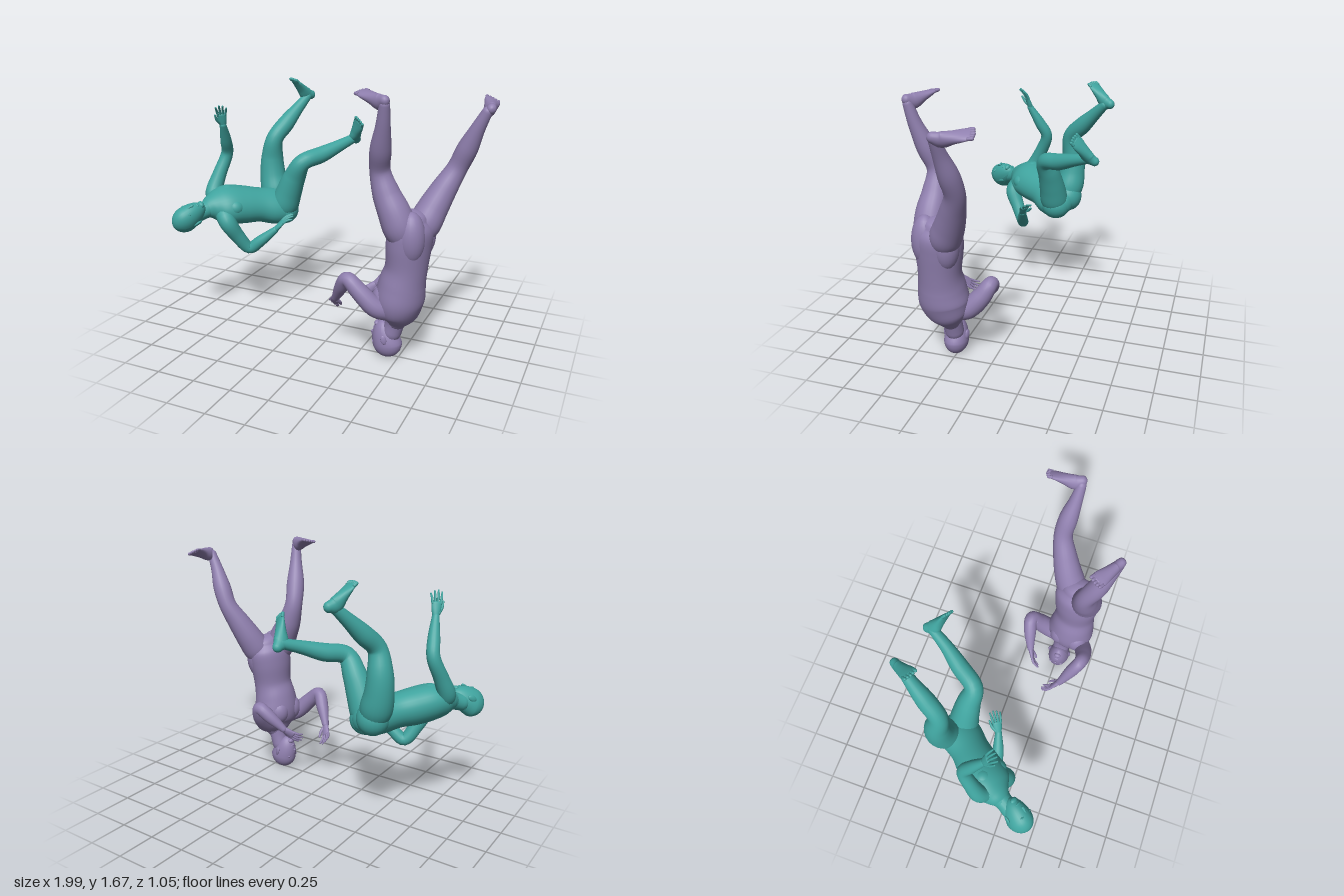
import * as THREE from 'three';

const V = (a) => new THREE.Vector3(a[0], a[1], a[2]);
const curve = (points) => new THREE.CatmullRomCurve3(points, false, 'catmullrom', 0.5);

// Skin of elliptical sections [x, y, z, radius along side, other radius] with rounded ends
function loft(name, mat, sections, side = [0.3, 0.2, 1], seg = 20, cap = 1) {
  const centre = curve(sections.map(V));
  const radii = curve(sections.map((s) => V([s[3], s[4] ?? s[3], 0])));
  const steps = (sections.length - 1) * 6, rings = [];
  const addRing = (t, angle, dir) => {
    const p = centre.getPoint(t), r = radii.getPoint(t), tan = centre.getTangent(t);
    const a = V(side).addScaledVector(tan, -V(side).dot(tan)).normalize();
    const b = tan.clone().cross(a), k = Math.max(Math.cos(angle), 0.01);
    p.addScaledVector(tan, dir * Math.sin(angle) * Math.min(r.x, r.y) * cap);
    rings.push({ p, a: a.multiplyScalar(r.x * k), b: b.multiplyScalar(r.y * k) });
  };
  for (let i = 5; i > 0; i--) addRing(0, (i / 5) * Math.PI / 2, -1);
  for (let i = 0; i <= steps; i++) addRing(i / steps, 0, 0);
  for (let i = 1; i <= 5; i++) addRing(1, (i / 5) * Math.PI / 2, 1);
  const pos = [], idx = [];
  rings.forEach(({ p, a, b }, i) => {
    for (let j = 0; j < seg; j++) {
      const th = (j / seg) * Math.PI * 2, c = Math.cos(th), s = Math.sin(th);
      pos.push(p.x + a.x * c + b.x * s, p.y + a.y * c + b.y * s, p.z + a.z * c + b.z * s);
      if (i === rings.length - 1) continue;
      const q = i * seg + j, n = i * seg + ((j + 1) % seg);
      idx.push(q, n, n + seg, q, n + seg, q + seg);
    }
  });
  const geo = new THREE.BufferGeometry();
  geo.setAttribute('position', new THREE.Float32BufferAttribute(pos, 3));
  geo.setIndex(idx);
  geo.computeVertexNormals();
  const mesh = new THREE.Mesh(geo, mat);
  mesh.name = name;
  return mesh;
}

function ball(name, mat, p, scale) {
  const mesh = new THREE.Mesh(new THREE.SphereGeometry(1, 24, 16), mat);
  mesh.name = name;
  mesh.position.copy(V(p));
  mesh.scale.set(...scale);
  return mesh;
}

// Group whose local y follows "up" and local x lies near "side"
function oriented(name, at, up, side) {
  const g = new THREE.Group(), y = V(up).normalize();
  const x = V(side).addScaledVector(y, -V(side).dot(y)).normalize();
  g.name = name;
  g.position.copy(V(at));
  g.quaternion.setFromRotationMatrix(new THREE.Matrix4().makeBasis(x, y, x.clone().cross(y)));
  return g;
}

// Head: round skull with a longer jaw, nose, brow, lips and ears; local z is the face
function head(mat, at, up, left) {
  const g = oriented('head', at, up, left);
  const geo = new THREE.SphereGeometry(1, 32, 24), P = geo.attributes.position;
  for (let i = 0; i < P.count; i++) {
    const x = P.getX(i), y = P.getY(i), z = P.getZ(i), low = Math.max(0, -y);
    const back = z < 0 ? 1 - 0.25 * low : 1;
    P.setXYZ(i, x * 0.077 * (1 - 0.1 * low), y * (y > 0 ? 0.095 : 0.145) + 0.03, (z * back * (1 - 0.08 * low) + 0.22 * low) * 0.093);
  }
  geo.computeVertexNormals();
  const skull = new THREE.Mesh(geo, mat);
  skull.name = 'skull';
  g.add(skull,
    loft('nose', mat, [[0, 0.01, 0.087, 0.006], [0, -0.018, 0.093, 0.008], [0, -0.032, 0.095, 0.011, 0.008]], [1, 0, 0], 12),
    ball('lips', mat, [0, -0.063, 0.076], [0.02, 0.008, 0.009]),
    ball('chin', mat, [0, -0.092, 0.058], [0.026, 0.018, 0.018]));
  for (const s of [-1, 1]) {
    const ear = ball('ear', mat, [s * 0.075, -0.015, -0.005], [0.009, 0.03, 0.018]);
    ear.rotation.set(-0.15, s * 0.4, 0);
    g.add(ear, ball('brow', mat, [s * 0.027, 0.016, 0.079], [0.024, 0.007, 0.008]));
  }
  return g;
}

// Hand: palm, four curled fingers and a thumb on local +x
function hand(name, mat, wrist, tip, thumbSide, palm) {
  const dir = V(tip).sub(V(wrist)), g = oriented(name, wrist, dir.toArray(), thumbSide);
  g.scale.x = 0.88;
  g.add(loft('palm', mat, [[0, 0, 0, 0.023, 0.018], [0, 0.035, 0, 0.031, 0.016], [0, 0.075, 0, 0.035, 0.012]], [1, 0, 0], 16));
  for (let i = 0; i < 4; i++) {
    const x = 0.027 - i * 0.018, f = x * 1.4, len = [0.068, 0.078, 0.072, 0.056][i];
    g.add(loft('finger', mat, [[x, 0.075, 0, 0.0095], [(x + f) / 2, 0.078 + len * 0.5, palm * 0.006, 0.0085],
      [f, 0.075 + len, palm * 0.022, 0.006]], [1, 0, 0], 8));
  }
  g.add(loft('thumb', mat, [[0.017, 0.02, 0, 0.014], [0.04, 0.052, palm * 0.012, 0.011], [0.049, 0.09, palm * 0.02, 0.007]], [1, 0, 0.1], 8));
  return g;
}

// Foot: heel to toes along local y, instep towards local z
function foot(name, mat, heel, toe, knee) {
  const dir = V(toe).sub(V(heel)), len = dir.length();
  const side = dir.clone().cross(V(knee).sub(V(heel)));
  const g = oriented(name, heel, dir.toArray(), side.toArray());
  const shape = [[0.1, 0.032, 0.028, 0.031], [0.28, 0.046, 0.033, 0.046], [0.52, 0.033, 0.039, 0.033], [0.76, 0.019, 0.047, 0.019], [0.88, 0.013, 0.044, 0.012]];
  g.add(loft('sole', mat, shape.map(([t, z, w, h]) => [0, t * len, z, w, h]), [1, 0, 0]));
  for (let i = 0; i < 5; i++) {
    const x = -0.036 + i * 0.018;
    g.add(loft('toe', mat, [[x, len * 0.84, 0.013, 0.01], [x, len * (0.97 - Math.abs(i - 2) * 0.012), 0.01, 0.01]], [1, 0, 0], 8));
  }
  return g;
}

function figure(name, color, pose) {
  const mat = new THREE.MeshStandardMaterial({ color });
  const g = new THREE.Group();
  g.name = name;
  g.add(loft('torso', mat, pose.torso, pose.side, 32, 0.6), loft('neck', mat, pose.neck), head(mat, ...pose.head));
  for (const [p, scale] of pose.muscles) g.add(ball('muscle', mat, p, scale));
  for (const a of pose.arms) {
    g.add(loft(a.name, mat, a.path));
    g.add(hand(a.name + 'Hand', mat, a.path.at(-1), a.tip, a.thumb, a.palm));
  }
  for (const l of pose.legs) {
    g.add(loft(l.name, mat, l.path, [0.3, 0.2, 1], 24));
    g.add(foot(l.name + 'Foot', mat, l.heel, l.toe, l.path[3]));
  }
  return g;
}

// Upside-down figure facing -x
const diver = {
  side: [-0.25, 0, 1],
  torso: [[0.485, 0.245, 0.265, 0.06, 0.058], [0.497, 0.285, 0.27, 0.095, 0.084], [0.51, 0.34, 0.28, 0.142, 0.119], [0.514, 0.42, 0.295, 0.163, 0.143],
    [0.527, 0.52, 0.3, 0.15, 0.138], [0.55, 0.63, 0.3, 0.137, 0.122], [0.56, 0.77, 0.295, 0.153, 0.128], [0.572, 0.87, 0.29, 0.152, 0.122], [0.578, 0.93, 0.285, 0.11, 0.085]],
  neck: [[0.455, 0.17, 0.26, 0.06], [0.475, 0.24, 0.262, 0.06], [0.49, 0.31, 0.27, 0.07]],
  head: [[0.425, 0.125, 0.26], [0.08, -1, 0], [0, 0, -1]],
  muscles: [[[0.437, 0.43, 0.36], [0.075, 0.09, 0.075]], [[0.452, 0.43, 0.24], [0.075, 0.09, 0.075]],
    [[0.59, 0.83, 0.362], [0.085, 0.16, 0.086]], [[0.615, 0.83, 0.225], [0.083, 0.16, 0.082]]],
  arms: [
    { name: 'rightArm', path: [[0.47, 0.36, 0.37, 0.06], [0.4, 0.4, 0.425, 0.06], [0.31, 0.49, 0.445, 0.053], [0.235, 0.55, 0.44, 0.045],
      [0.18, 0.48, 0.4, 0.043], [0.115, 0.37, 0.345, 0.024]], tip: [0.045, 0.26, 0.245], thumb: [1, -0.6, 0], palm: 1 },
    { name: 'leftArm', path: [[0.49, 0.34, 0.21, 0.065], [0.49, 0.37, 0.14, 0.066], [0.475, 0.45, 0.065, 0.06], [0.445, 0.525, 0.018, 0.047],
      [0.37, 0.47, 0.035, 0.043], [0.285, 0.39, 0.07, 0.024]], tip: [0.18, 0.3, 0.14], thumb: [0.5, -0.8, 0], palm: -1 }],
  legs: [
    { name: 'rightLeg', path: [[0.55, 0.8, 0.35, 0.075], [0.525, 0.88, 0.36, 0.098], [0.49, 0.97, 0.363, 0.095], [0.435, 1.08, 0.357, 0.08], [0.397, 1.21, 0.36, 0.06],
      [0.417, 1.34, 0.41, 0.061], [0.447, 1.48, 0.46, 0.042], [0.465, 1.6, 0.492, 0.03]], heel: [0.485, 1.655, 0.515], toe: [0.28, 1.66, 0.395] },
    { name: 'leftLeg', path: [[0.595, 0.8, 0.24, 0.075], [0.625, 0.88, 0.22, 0.096], [0.66, 0.97, 0.18, 0.09], [0.71, 1.08, 0.135, 0.076], [0.77, 1.2, 0.095, 0.06],
      [0.825, 1.32, 0.102, 0.06], [0.88, 1.44, 0.12, 0.042], [0.93, 1.54, 0.13, 0.03]], heel: [0.97, 1.585, 0.15], toe: [0.915, 1.592, -0.085] }],
};

// Reclining figure, face up, with knees raised
const recliner = {
  side: [0.7, -0.5, 0.5],
  torso: [[-0.86, 0.79, 0.265, 0.058, 0.055], [-0.84, 0.797, 0.23, 0.09, 0.077], [-0.81, 0.8, 0.185, 0.133, 0.1], [-0.765, 0.8, 0.13, 0.148, 0.115],
    [-0.7, 0.785, 0.05, 0.14, 0.115], [-0.63, 0.77, -0.03, 0.128, 0.107], [-0.565, 0.75, -0.11, 0.142, 0.112], [-0.525, 0.742, -0.175, 0.135, 0.1], [-0.51, 0.745, -0.215, 0.09, 0.07]],
  neck: [[-0.895, 0.77, 0.33, 0.056], [-0.865, 0.785, 0.28, 0.056], [-0.835, 0.8, 0.22, 0.066]],
  head: [[-0.91, 0.765, 0.375], [-0.5, -0.35, 0.75], [-0.72, 0.5, -0.4]],
  muscles: [[[-0.785, 0.868, 0.114], [0.065, 0.06, 0.065]], [[-0.695, 0.796, 0.17], [0.065, 0.06, 0.065]],
    [[-0.575, 0.765, -0.203], [0.1, 0.105, 0.1]], [[-0.49, 0.72, -0.14], [0.095, 0.095, 0.1]]],
  arms: [
    { name: 'leftArm', path: [[-0.83, 0.82, 0.17, 0.06], [-0.88, 0.875, 0.13, 0.057], [-0.865, 0.99, 0.075, 0.046], [-0.832, 1.12, 0.025, 0.04],
      [-0.806, 1.22, 0.07, 0.037], [-0.78, 1.335, 0.135, 0.022]], tip: [-0.765, 1.46, 0.175], thumb: [-0.8, -0.1, 0.6], palm: -1 },
    { name: 'rightArm', path: [[-0.76, 0.77, 0.21, 0.06], [-0.71, 0.71, 0.24, 0.057], [-0.67, 0.61, 0.195, 0.047], [-0.615, 0.515, 0.14, 0.04],
      [-0.535, 0.57, 0.12, 0.037], [-0.44, 0.65, 0.09, 0.022]], tip: [-0.36, 0.75, 0.045], thumb: [-0.6, 0.1, -0.8], palm: 1 }],
  legs: [
    { name: 'leftLeg', path: [[-0.57, 0.76, -0.18, 0.085], [-0.6, 0.84, -0.21, 0.098], [-0.622, 0.94, -0.223, 0.088], [-0.625, 1.06, -0.226, 0.076], [-0.597, 1.195, -0.217, 0.058],
      [-0.552, 1.29, -0.3, 0.057], [-0.508, 1.38, -0.385, 0.042], [-0.465, 1.46, -0.46, 0.03]], heel: [-0.435, 1.485, -0.53], toe: [-0.522, 1.6, -0.36] },
    { name: 'rightLeg', path: [[-0.5, 0.72, -0.14, 0.08], [-0.48, 0.77, -0.13, 0.095], [-0.445, 0.86, -0.125, 0.088], [-0.395, 0.97, -0.115, 0.075], [-0.325, 1.08, -0.105, 0.057],
      [-0.245, 1.115, -0.22, 0.055], [-0.165, 1.16, -0.335, 0.041], [-0.1, 1.2, -0.45, 0.03]], heel: [-0.085, 1.18, -0.52], toe: [-0.02, 1.35, -0.36] }],
};

export function createModel() {
  const model = new THREE.Group();
  model.name = 'tumblingFigures';
  model.add(figure('upsideDownFigure', 0x8f7fae, diver), figure('recliningFigure', 0x3fa39e, recliner));
  return model;
}
